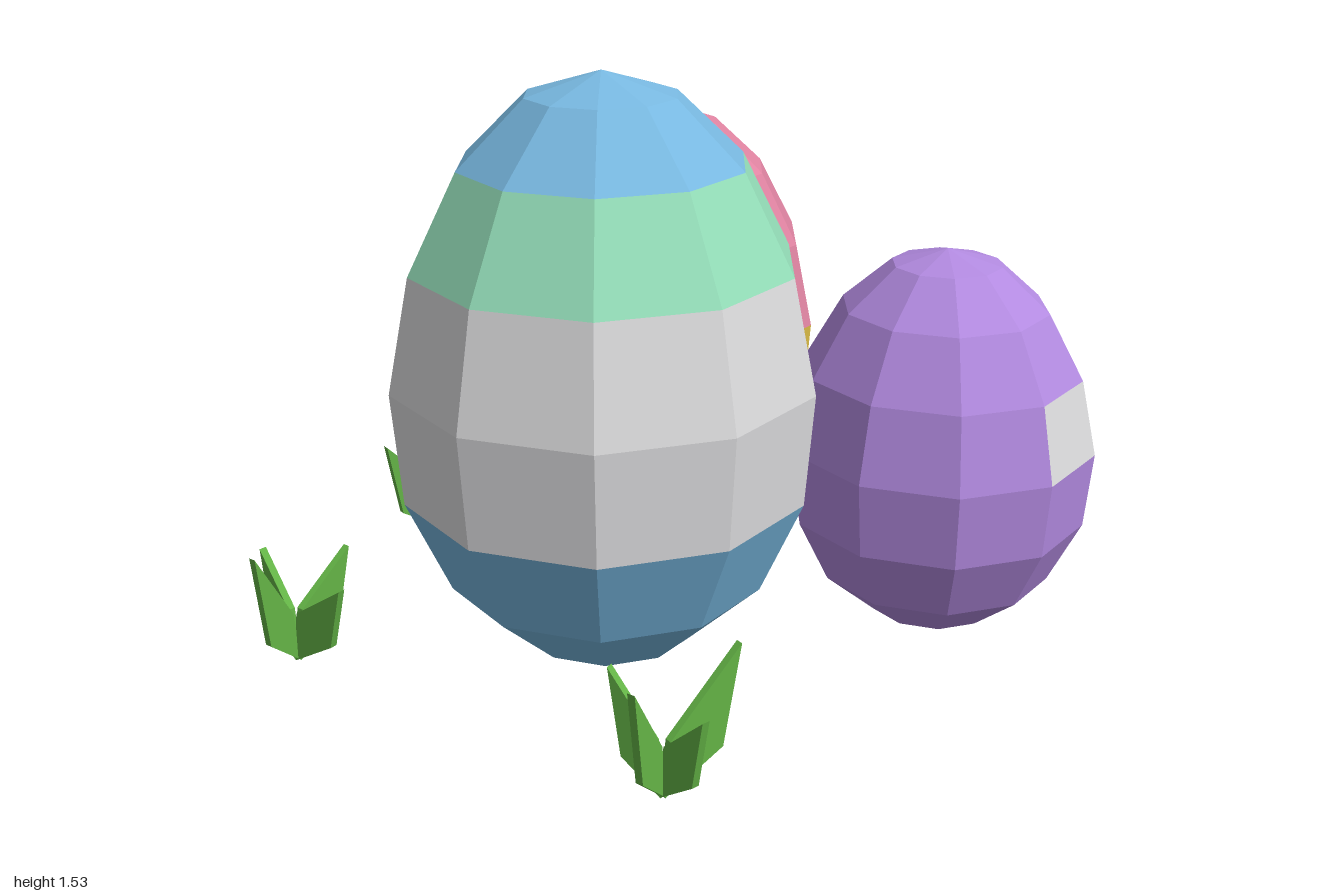
import * as THREE from 'three';

const SIDES = 10, RINGS = 8, TAPER = 0.09;

function material(name, color) {
  const m = new THREE.MeshStandardMaterial({ color, flatShading: true });
  m.name = name;
  return m;
}

// Faceted egg standing on y = 0; paint(ring, side) picks the material index of each facet.
// Rings count down from the top, sides run from the left (-x) through the front.
function makeEgg(name, x, z, radius, height, materials, paint) {
  const geo = new THREE.SphereGeometry(1, SIDES, RINGS);
  const p = geo.attributes.position;
  for (let i = 0; i < p.count; i++) {
    const y = p.getY(i), r = radius * (1 - TAPER * y);
    p.setXYZ(i, p.getX(i) * r, (y + 1) * height / 2, p.getZ(i) * r);
  }
  let start = 0;
  for (let ring = 0; ring < RINGS; ring++) {
    for (let side = 0; side < SIDES; side++) {
      const count = ring === 0 || ring === RINGS - 1 ? 3 : 6;
      geo.addGroup(start, count, paint(ring, side));
      start += count;
    }
  }
  geo.computeVertexNormals();
  const egg = new THREE.Mesh(geo, materials);
  egg.name = name;
  egg.position.set(x, 0, z);
  return egg;
}

// Upright leaf plate reaching outwards from the tuft centre
function makeBlade(dx, dz, h, mat) {
  const d = Math.hypot(dx, dz), t = 0.02;
  const shape = new THREE.Shape([
    new THREE.Vector2(0, 0),
    new THREE.Vector2(d * 0.76, 0.08),
    new THREE.Vector2(d, h),
    new THREE.Vector2(0.015, 0.14),
  ]);
  const geo = new THREE.ExtrudeGeometry(shape, { depth: t, bevelEnabled: false });
  geo.translate(0, 0, -t / 2);
  const blade = new THREE.Mesh(geo, mat);
  blade.name = 'grassBlade';
  blade.rotation.y = Math.atan2(-dz, dx);
  return blade;
}

export function createModel() {
  const blue = material('sky blue', 0x78b8e0);
  const mint = material('mint green', 0x94deb9);
  const white = material('soft white', 0xdcdcde);
  const pink = material('rose pink', 0xe084a2);
  const purple = material('lilac purple', 0xb28ae0);
  const gold = material('gold', 0xe0c048);
  const green = material('grass green', 0x64b446);

  const model = new THREE.Group();
  model.name = 'eggsInGrass';

  // Large egg: blue ends, mint ring, wide white middle
  const bands = [0, 0, 1, 2, 2, 0, 0, 0];
  model.add(makeEgg('largeBandedEgg', -0.33, 0, 0.545, 1.53, [blue, mint, white],
    ring => bands[ring]));

  // Medium egg: belt of white and gold patches below the middle
  const whitePatches = [3, 4, 5, 9];
  model.add(makeEgg('mediumPinkEgg', 0.49, -0.435, 0.46, 1.26, [pink, white, gold],
    (ring, side) => ring !== 4 ? 0 : whitePatches.includes(side) ? 1 : 2));

  // Small egg: partial white belt above the middle
  const belt = [2, 3, 4, 5, 7];
  model.add(makeEgg('smallPurpleEgg', 0.325, 0.6, 0.407, 1.04, [purple, white],
    (ring, side) => ring === 3 && belt.includes(side) ? 1 : 0));

  // Grass tufts: position, then four blades as [dx, dz, height]
  const tufts = [
    { at: [-0.875, -0.6], blades: [[-0.125, 0, 0.335], [0.18, 0.01, 0.26], [0.01, -0.12, 0.28], [0, 0.18, 0.25]] },
    { at: [-0.055, -0.87], blades: [[-0.165, -0.05, 0.3], [0.14, -0.03, 0.25], [0, -0.125, 0.27], [-0.01, 0.135, 0.23]] },
    { at: [0.875, -0.005], blades: [[-0.135, -0.02, 0.24], [0.125, 0.015, 0.27], [0.04, -0.14, 0.31], [-0.005, 0.165, 0.245]] },
    { at: [-0.82, 0.545], blades: [[-0.12, 0.005, 0.32], [0.2, 0.07, 0.33], [-0.02, -0.135, 0.3], [-0.035, 0.145, 0.26]] },
  ];
  for (const { at, blades } of tufts) {
    const tuft = new THREE.Group();
    tuft.name = 'grassTuft';
    tuft.position.set(at[0], 0, at[1]);
    for (const [dx, dz, h] of blades) tuft.add(makeBlade(dx, dz, h, green));
    model.add(tuft);
  }
  return model;
}
